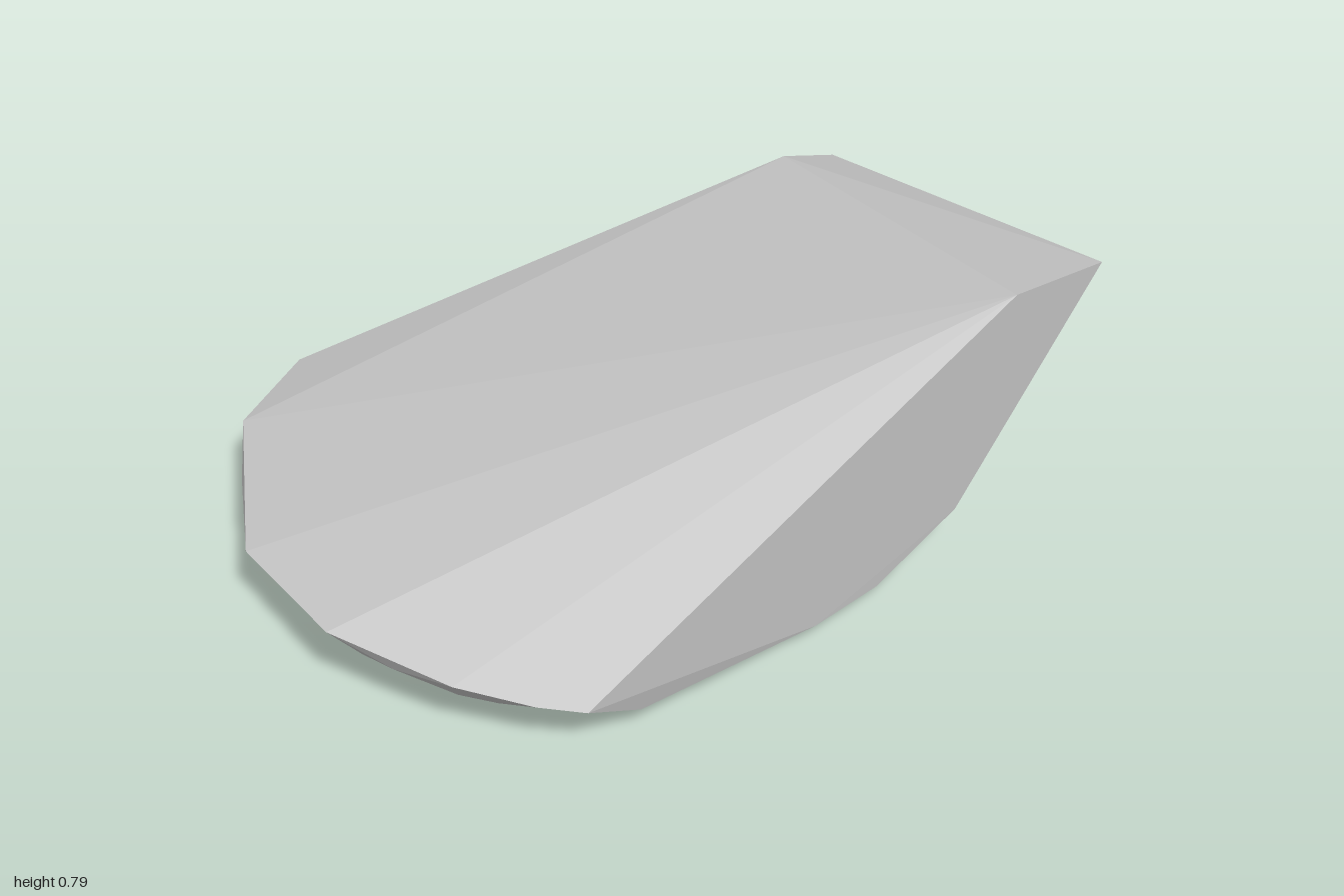
import * as THREE from 'three';
import { ConvexGeometry } from 'three/addons/geometries/ConvexGeometry.js';

// Upper outline of the slanted cleaved top
const topRim = [
  [-0.28, 0.545, -1], [0.72, 0.74, -1], [0.74, 0.785, -0.69], [-0.32, 0.575, -0.86],
  [-0.75, 0.21, -0.36], [-0.78, 0.2, 0.41], [-0.63, 0.213, 0.68], [-0.16, 0.233, 0.97],
  [0.24, 0.265, 1], [0.55, 0.237, 0.86], [0.7, 0.21, 0.73], [0.78, 0.2, 0.64],
];

// Chipped band around the sides
const sideChips = [
  [-0.45, 0.19, 0.8], [-0.26, 0.145, 0.85], [0.0, 0.15, 0.9], [0.25, 0.155, 0.91], [0.38, 0.2, 0.91], [0.5, 0.15, 0.81],
  [-0.56, 0.12, 0.6], [-0.72, 0.13, 0.44], [-0.745, 0.085, 0.1], [-0.773, 0.13, -0.2],
  [-0.6, 0.13, -0.42], [-0.42, 0.065, -0.58], [-0.29, 0.055, -0.65], [-0.3, 0.3, -0.78],
  [0.1, 0.11, -0.78], [0.2, 0.085, -0.74], [0.32, 0.12, -0.76], [0.71, 0.165, -0.57], [0.717, 0.05, -0.31],
  [0.1, 0.28, -0.9], [0.4, 0.31, -0.9], [0.54, 0.61, -1], [0.42, 0.53, -1], [0.15, 0.48, -1], [-0.08, 0.49, -1],
];

// Rim of the nearly flat underside
const baseRim = [
  [-0.62, 0.04, -0.2], [-0.32, 0.013, -0.46], [-0.14, 0.002, -0.56], [0.26, 0, -0.58],
  [0.5, 0.013, -0.47], [0.73, 0.04, -0.1], [0.75, 0.09, 0.46], [0.55, 0.115, 0.73],
  [0.25, 0.128, 0.84], [-0.1, 0.126, 0.82], [-0.37, 0.115, 0.72], [-0.6, 0.09, 0.42], [-0.68, 0.065, 0.13],
];

export function createModel() {
  const group = new THREE.Group();
  group.name = 'rock';
  const stone = new THREE.MeshStandardMaterial({ color: 0xc8c8c8 });
  stone.name = 'pale grey stone';

  // Faceted convex boulder
  const points = [...topRim, ...sideChips, ...baseRim].map((p) => new THREE.Vector3(...p));
  const boulder = new THREE.Mesh(new ConvexGeometry(points), stone);
  boulder.name = 'boulder';
  group.add(boulder);
  return group;
}
